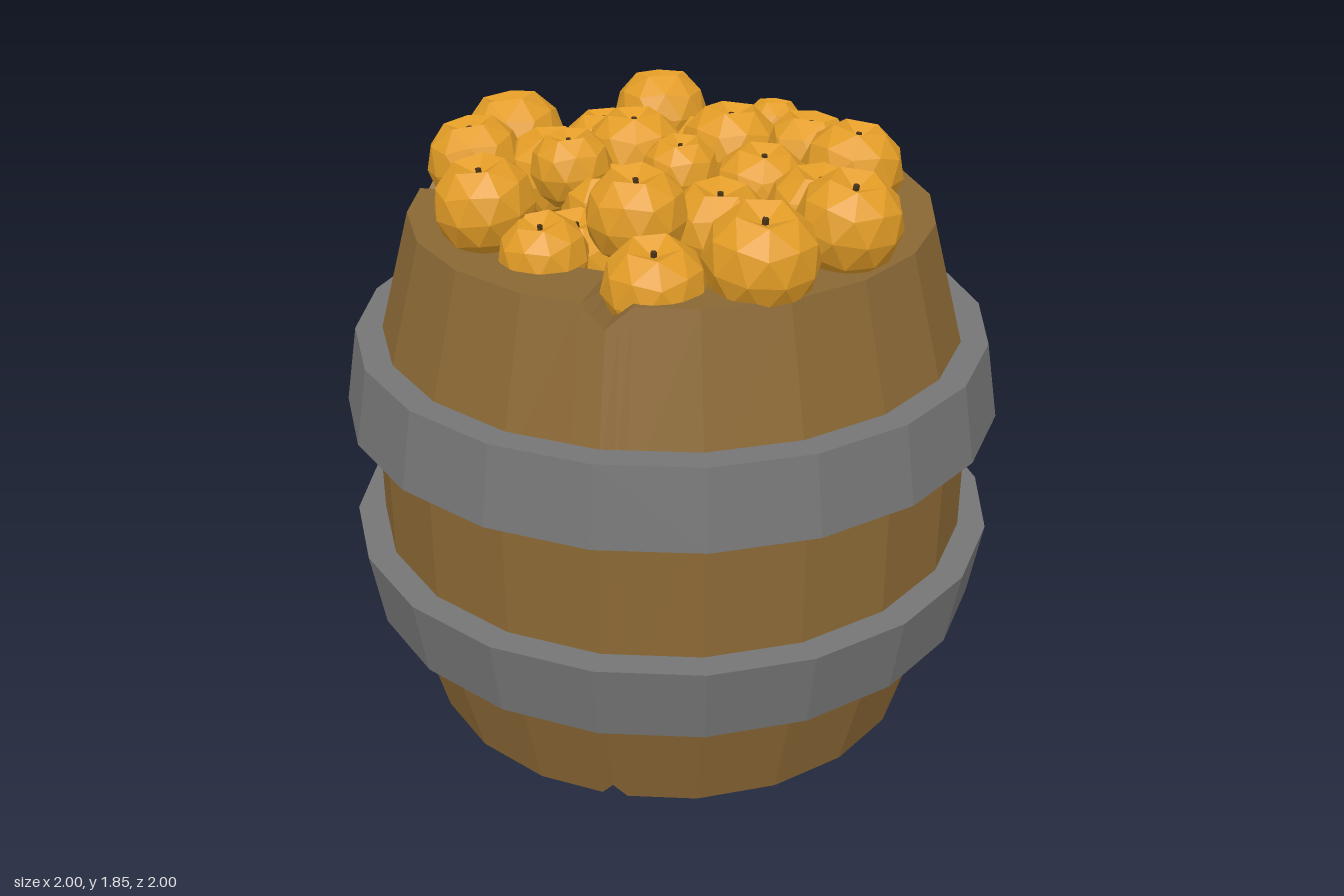
import * as THREE from 'three';

const mat = (name, color) => {
  const m = new THREE.MeshStandardMaterial({ color, flatShading: true });
  m.name = name;
  return m;
};

const SIDES = 20;
const STEP = (Math.PI * 2) / SIDES;
const TAU = Math.PI * 2;

// V-shaped chips in the rims: [angle, half width, depth]
const TOP_CHIPS = [[2.86, 0.08, 0.07], [0.31, 0.09, 0.06], [-1.285, 0.08, 0.07]];
const BOTTOM_CHIPS = [[-0.92, 0.07, 0.1], [0.31, 0.05, 0.05], [1.9, 0.09, 0.08], [-2.05, 0.22, 0.13]];

const chipDepth = (chips, angle) => chips.reduce((best, [a, w, d]) => {
  const delta = Math.abs(Math.atan2(Math.sin(angle - a), Math.cos(angle - a)));
  return Math.max(best, d * (1 - delta / w));
}, 0);

// Barrel wall: a cross-section repeated around the polygon, with extra columns at each chip
function barrelGeometry() {
  const angles = [];
  for (let i = 0; i < SIDES; i++) angles.push(i * STEP);
  for (const [a, w] of [...TOP_CHIPS, ...BOTTOM_CHIPS])
    for (const s of [-1, 0, 1]) angles.push((a + s * w + TAU) % TAU);
  angles.sort((p, q) => p - q);

  const positions = [], index = [];
  let rows = 0;
  for (const angle of angles) {
    const b = chipDepth(BOTTOM_CHIPS, angle);
    const t = chipDepth(TOP_CHIPS, angle);
    // keep added columns on the flat sides
    const flat = Math.cos(STEP / 2) / Math.cos((angle % STEP) - STEP / 2);
    const section = [
      [0, 0.14], [0.56, 0.14], [0.56, b], [0.78 + 0.27 * b, b], [0.915, 0.5],
      [0.915, 1.1], [0.78 + 0.27 * t, 1.6 - t], [0.56, 1.6 - t], [0.56, 1.46], [0, 1.46],
    ];
    rows = section.length;
    for (const [r, y] of section)
      positions.push(r * flat * Math.sin(angle), y, r * flat * Math.cos(angle));
  }
  const n = angles.length;
  for (let i = 0; i < n; i++) {
    const k = (i + 1) % n;
    for (let j = 0; j < rows - 1; j++) {
      const a = i * rows + j, b = k * rows + j;
      if (j > 0) index.push(a, b, b + 1);
      else index.push(a, b + 1, a + 1);
      if (j > 0 && j < rows - 2) index.push(a, b + 1, a + 1);
    }
  }
  const g = new THREE.BufferGeometry();
  g.setAttribute('position', new THREE.Float32BufferAttribute(positions, 3));
  g.setIndex(index);
  const out = g.toNonIndexed();
  out.computeVertexNormals();
  return out;
}

// Hoop with a slanted outer face
function hoopGeometry(y0, r0, y1, r1) {
  const p = [[0.865, y0], [r0, y0], [r1, y1], [0.865, y1], [0.865, y0]];
  return new THREE.LatheGeometry(p.map(([r, y]) => new THREE.Vector2(r, y)), SIDES);
}

// Unit fruit: faceted ball with a dimple at the top
function fruitGeometry() {
  const g = new THREE.IcosahedronGeometry(1, 1);
  g.rotateX(-Math.atan2((1 + Math.sqrt(5)) / 2, 1));
  const p = g.attributes.position;
  for (let i = 0; i < p.count; i++) {
    const y = p.getY(i);
    if (y > 0.98) p.setY(i, 0.62);
    else if (y < -0.98) p.setY(i, -0.85);
  }
  g.computeVertexNormals();
  return g;
}

// Fruit: x, y, z, radius
const FRUIT = [
  [-0.58, 1.68, 0.18, 0.148], [-0.62, 1.67, -0.08, 0.162], [-0.29, 1.71, 0.53, 0.147],
  [0.10, 1.70, 0.36, 0.147], [-0.09, 1.60, 0.54, 0.13], [0.27, 1.59, 0.55, 0.147],
  [0.51, 1.67, 0.40, 0.162], [0.64, 1.71, 0.14, 0.152], [0.43, 1.68, -0.33, 0.155],
  [0.04, 1.69, -0.28, 0.155], [0.58, 1.61, -0.11, 0.11], [-0.31, 1.70, -0.46, 0.152],
  [0.04, 1.68, -0.57, 0.1], [0.47, 1.65, -0.01, 0.152], [0.22, 1.65, -0.45, 0.15],
  [-0.14, 1.61, -0.46, 0.13], [-0.41, 1.62, -0.28, 0.135], [-0.20, 1.68, -0.12, 0.155],
  [0.23, 1.64, -0.13, 0.15], [-0.39, 1.64, 0.06, 0.15], [0.07, 1.73, 0.07, 0.115],
  [-0.22, 1.73, 0.20, 0.122], [-0.10, 1.63, 0.20, 0.135], [0.27, 1.64, 0.20, 0.148],
  [-0.40, 1.61, 0.38, 0.13],
  [0.02, 1.56, -0.08, 0.15], [-0.08, 1.54, 0.38, 0.15], [0.40, 1.54, 0.22, 0.14], [0.1, 1.54, 0.18, 0.15],
];

export function createModel() {
  const wood = mat('brown wood', 0x8b6835);
  const iron = mat('grey iron', 0x757575);
  const skin = mat('orange fruit skin', 0xe29c26);
  const stemMat = mat('dark stem', 0x4a3418);

  const model = new THREE.Group();
  model.name = 'barrelOfFruit';
  const add = (parent, name, geometry, material) => {
    const mesh = new THREE.Mesh(geometry, material);
    mesh.name = name;
    parent.add(mesh);
    return mesh;
  };

  add(model, 'barrelBody', barrelGeometry(), wood);
  add(model, 'lowerHoop', hoopGeometry(0.37, 0.96, 0.61, 1), iron);
  add(model, 'upperHoop', hoopGeometry(1.0, 1, 1.235, 0.96), iron);

  // Heap of fruit, each turned and tilted a little outward
  const heap = new THREE.Group();
  heap.name = 'fruitHeap';
  model.add(heap);
  const ball = fruitGeometry();
  const stem = new THREE.CylinderGeometry(0.06, 0.06, 0.2, 5);
  stem.translate(0, 0.65, 0);
  FRUIT.forEach(([x, y, z, r], i) => {
    const fruit = new THREE.Group();
    fruit.name = 'fruit';
    fruit.position.set(x, y, z);
    fruit.scale.setScalar(r);
    fruit.rotation.set(z * 0.25, i * 2.4, -x * 0.25, 'XZY');
    add(fruit, 'fruitBody', ball, skin);
    add(fruit, 'fruitStem', stem, stemMat);
    heap.add(fruit);
  });
  return model;
}
